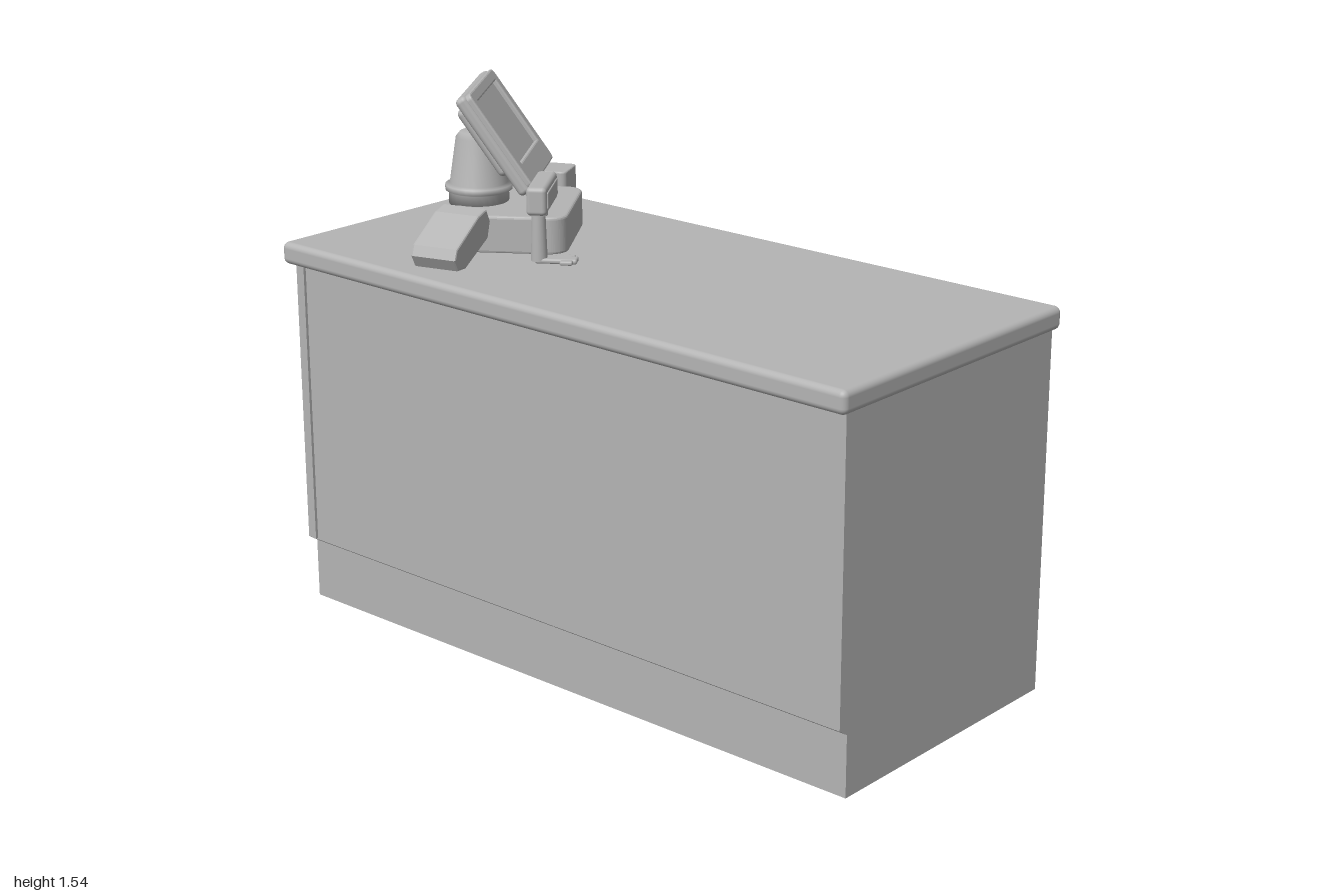
import * as THREE from 'three';
import { RoundedBoxGeometry } from 'three/addons/geometries/RoundedBoxGeometry.js';

const grey = new THREE.MeshStandardMaterial({ color: 0xb4b4b4, side: THREE.DoubleSide });
grey.name = 'plain grey';

function add(parent, name, geometry, x = 0, y = 0, z = 0) {
  const mesh = new THREE.Mesh(geometry, grey);
  mesh.name = name;
  mesh.position.set(x, y, z);
  parent.add(mesh);
  return mesh;
}

function group(parent, name, x, y, z, turn = 0) {
  const g = new THREE.Group();
  g.name = name;
  g.position.set(x, y, z);
  g.rotation.y = turn;
  parent.add(g);
  return g;
}

const rounded = (w, h, d, r) => new RoundedBoxGeometry(w, h, d, 3, r);

function roundedRect(w, h, r, cy = 0, path = new THREE.Shape()) {
  const x = w / 2, y = h / 2;
  path.absarc(x - r, cy + y - r, r, 0, Math.PI / 2);
  path.absarc(-x + r, cy + y - r, r, Math.PI / 2, Math.PI);
  path.absarc(-x + r, cy - y + r, r, Math.PI, Math.PI * 1.5);
  path.absarc(x - r, cy - y + r, r, Math.PI * 1.5, Math.PI * 2);
  path.closePath();
  return path;
}

// Upright block with rounded vertical corners, standing on its local y = 0
function block(w, h, d, r, bevel) {
  const geo = new THREE.ExtrudeGeometry(roundedRect(w - 2 * bevel, d - 2 * bevel, r), {
    depth: h - 2 * bevel, bevelEnabled: true, bevelSize: bevel,
    bevelThickness: bevel, bevelSegments: 3, curveSegments: 8,
  });
  return geo.translate(0, 0, bevel).rotateX(-Math.PI / 2);
}

// Hollow cabinet, open underneath
function buildCabinet(root) {
  const cabinet = group(root, 'cabinet', 0, 0, 0);
  const side = new THREE.Shape([
    [-0.375, 0], [0.47, 0], [0.47, 0.175], [0.5, 0.195], [0.5, 1.04], [-0.375, 1.04],
  ].map(([z, y]) => new THREE.Vector2(-z, y)));
  for (const s of [-1, 1]) {
    add(cabinet, 'sidePanel', new THREE.ShapeGeometry(side).rotateY(Math.PI / 2), s * 0.98);
    add(cabinet, 'frontStile', new THREE.BoxGeometry(0.03, 0.845, 0.012), s * 0.965, 0.6175, 0.494);
  }
  add(cabinet, 'frontPanel', new THREE.PlaneGeometry(1.92, 0.85), 0, 0.615, 0.492);
  add(cabinet, 'kickBoard', new THREE.PlaneGeometry(1.96, 0.175), 0, 0.0875, 0.47);
  const lip = add(cabinet, 'kickLip', new THREE.PlaneGeometry(1.96, 0.036), 0, 0.185, 0.485);
  lip.rotation.x = Math.atan2(0.03, 0.02);
  add(cabinet, 'backPanel', new THREE.PlaneGeometry(1.96, 1.04).rotateY(Math.PI), 0, 0.52, -0.375);
  add(root, 'countertop', rounded(2, 0.064, 0.925, 0.018), 0, 1.06, 0.0725);
}

// Back drawer with its long pull
function buildDrawer(root, y) {
  const drawer = group(root, 'drawer', 0, y, 0);
  add(drawer, 'drawerFront', rounded(1.84, 0.3, 0.05, 0.02), 0, 0, -0.397);
  add(drawer, 'handleBar', rounded(1.405, 0.04, 0.032, 0.01), 0, 0, -0.522);
  for (const s of [-1, 1])
    add(drawer, 'handlePost', rounded(0.113, 0.04, 0.115, 0.01), s * 0.645, 0, -0.475);
}

// Till: base, stand and tilted touch screen (local +z is the screen side)
const TILL_TURN = 2.178;
function buildTill(root) {
  const till = group(root, 'till', -0.535, 1.09, 0.053, TILL_TURN);
  add(till, 'tillBase', block(0.36, 0.107, 0.325, 0.045, 0.008));
  const profile = [[0, 0.1], [0.085, 0.1], [0.085, 0.135], [0.095, 0.14], [0.095, 0.155],
    [0.082, 0.16], [0.062, 0.29], [0.05, 0.305], [0, 0.305]];
  const stand = new THREE.LatheGeometry(profile.map(p => new THREE.Vector2(...p)), 28);
  add(till, 'screenStand', stand, 0, 0, -0.112);

  const monitor = group(till, 'monitor', 0, 0.306, -0.033);
  monitor.rotation.x = -0.6;
  add(monitor, 'monitorBody', rounded(0.365, 0.32, 0.036, 0.014), 0, 0, -0.006);
  add(monitor, 'monitorBack', rounded(0.29, 0.22, 0.04, 0.016), 0, 0.02, -0.03);
  const frame = roundedRect(0.345, 0.3, 0.012);
  frame.holes.push(roundedRect(0.29, 0.215, 0.004, 0.02, new THREE.Path()));
  add(monitor, 'screenBezel', new THREE.ExtrudeGeometry(frame, {
    depth: 0.01, bevelEnabled: true, bevelSize: 0.005, bevelThickness: 0.005, bevelSegments: 2,
  }), 0, 0, 0.01);
}

// Card terminal sloping down to the front
function buildTerminal(root) {
  const terminal = group(root, 'cardTerminal', -0.465, 1.172, 0.387, 0.29);
  const tilt = group(terminal, 'terminalBody', 0, 0, 0);
  tilt.rotation.x = 0.38;
  const outline = new THREE.Shape([
    [0.105, -0.03], [0.11, 0.005], [0.09, 0.025], [-0.055, 0.038], [-0.1, 0.03],
    [-0.105, -0.01], [-0.075, -0.045], [0.07, -0.047],
  ].map(([z, y]) => new THREE.Vector2(-z * 0.94, y * 0.94)));
  const geo = new THREE.ExtrudeGeometry(outline, {
    depth: 0.125, bevelEnabled: true, bevelSize: 0.005, bevelThickness: 0.006, bevelSegments: 2,
  });
  add(tilt, 'terminalCase', geo.translate(0, 0, -0.0625).rotateY(Math.PI / 2));
  const keys = add(tilt, 'terminalKeypad', rounded(0.1, 0.008, 0.075, 0.003), 0, 0.029, 0.03);
  keys.rotation.x = 0.09;
}

// Small customer display on a pole
function buildDisplay(root) {
  const display = group(root, 'customerDisplay', -0.252, 0, 0.25, TILL_TURN);
  add(display, 'displayHead', rounded(0.2, 0.077, 0.055, 0.012), 0, 1.304, 0);
  add(display, 'displayGlass', rounded(0.165, 0.045, 0.008, 0.003), 0, 1.304, 0.027);
  add(display, 'displayPole', new THREE.CylinderGeometry(0.018, 0.023, 0.15, 20), -0.01, 1.195, -0.008);
  add(display, 'poleCollar', new THREE.CylinderGeometry(0.026, 0.026, 0.02, 20), -0.01, 1.257, -0.008);
  add(display, 'poleFoot', rounded(0.042, 0.014, 0.115, 0.006), -0.01, 1.122, 0.04);
  add(display, 'footPad', rounded(0.075, 0.012, 0.035, 0.005), -0.01, 1.122, 0.07);
}

// Open cup with leaning pens
function buildPenCup(root) {
  const cup = group(root, 'penCup', -0.711, 1.09, -0.152);
  const wall = [[0, 0], [0.054, 0], [0.056, 0.006], [0.056, 0.166], [0.053, 0.17], [0.05, 0.166],
    [0.05, 0.02], [0, 0.02]];
  add(cup, 'cup', new THREE.LatheGeometry(wall.map(p => new THREE.Vector2(...p)), 28));
  for (let i = 0; i < 5; i++) {
    const a = i * 2 * Math.PI / 5 + 0.4;
    const pen = group(cup, 'pen', -0.018 * Math.cos(a), 0.022, -0.018 * Math.sin(a));
    pen.rotation.set(Math.sin(a) * 0.22, 0, -Math.cos(a) * 0.22);
    add(pen, 'penBarrel', new THREE.CylinderGeometry(0.006, 0.006, 0.175, 8), 0, 0.0875);
    add(pen, 'penTip', new THREE.ConeGeometry(0.006, 0.025, 8), 0, 0.1875);
  }
}

export function createModel() {
  const root = new THREE.Group();
  root.name = 'checkoutCounter';
  buildCabinet(root);
  for (const y of [0.76, 0.45]) buildDrawer(root, y);
  buildTill(root);
  buildTerminal(root);
  buildDisplay(root);
  buildPenCup(root);
  add(root, 'smallBox', block(0.133, 0.11, 0.113, 0.012, 0.005), -0.733, 1.09, -0.283).rotation.y = 0.447;
  return root;
}
